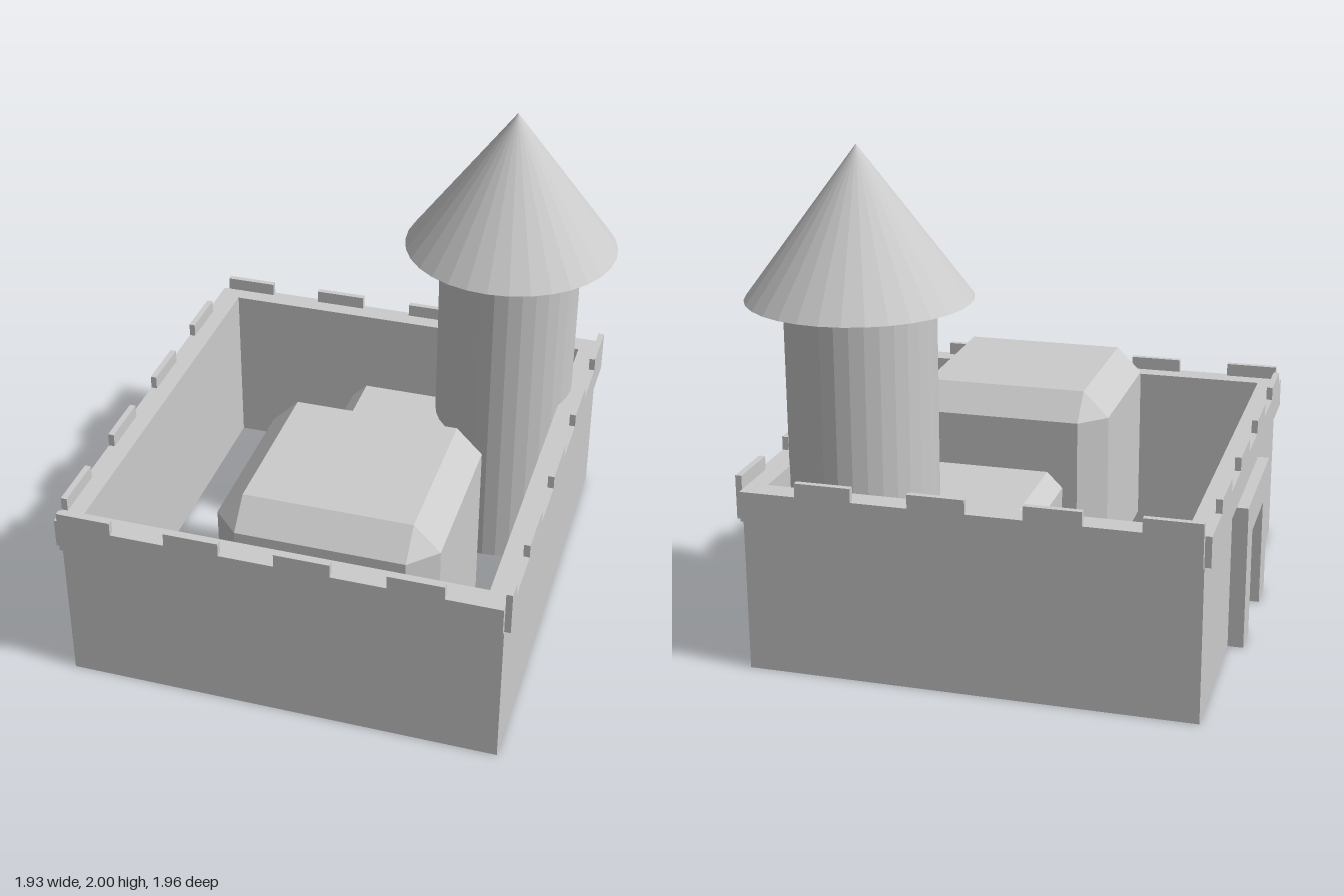
import * as THREE from 'three';
import { ConvexGeometry } from 'three/addons/geometries/ConvexGeometry.js';

const material = new THREE.MeshStandardMaterial({ color: 0xcccccc, flatShading: true });

function add(parent, name, geometry, x = 0, y = 0, z = 0) {
  const mesh = new THREE.Mesh(geometry, material);
  mesh.name = name;
  mesh.position.set(x, y, z);
  parent.add(mesh);
  return mesh;
}

// Box given by its lower and upper limits on each axis
function block(parent, name, [x0, x1], [y0, y1], [z0, z1]) {
  return add(parent, name, new THREE.BoxGeometry(x1 - x0, y1 - y0, z1 - z0),
    (x0 + x1) / 2, (y0 + y1) / 2, (z0 + z1) / 2);
}

// Cube with every edge and corner cut off
function chamferedCube(w, h, d, c) {
  const points = [];
  for (const sx of [-1, 1]) for (const sy of [-1, 1]) for (const sz of [-1, 1]) {
    for (let full = 0; full < 3; full++) {
      const p = [w, h, d].map((s, i) => s / 2 - (i === full ? 0 : c));
      points.push(new THREE.Vector3(p[0] * sx, p[1] * sy, p[2] * sz));
    }
  }
  return new ConvexGeometry(points);
}

export function createModel() {
  const model = new THREE.Group();
  model.name = 'castle';
  const left = -0.905, right = 0.86, end = 0.955;
  const wallTop = 0.74, band = [0.62, wallTop], merlonY = [wallTop, 0.795], lip = 0.025;

  // Curtain walls around an open yard
  const walls = new THREE.Group();
  walls.name = 'walls';
  model.add(walls);
  block(walls, 'frontWall', [left, right], [0, wallTop], [0.88, end]);
  block(walls, 'backWall', [left, right], [0, wallTop], [-end, -0.885]);
  block(walls, 'westWall', [left, -0.835], [0, wallTop], [-0.885, 0.88]);
  block(walls, 'eastWall', [0.785, right], [0, wallTop], [-0.885, 0.88]);

  // Projecting band and battlements
  const parapet = new THREE.Group();
  parapet.name = 'parapet';
  model.add(parapet);
  const frontZ = [end, end + lip], backZ = [-end - lip, -end];
  const westX = [left - lip, left], eastX = [right, right + lip];
  for (const z of [frontZ, backZ]) {
    block(parapet, 'band', [left, right], band, z);
    for (let i = 0; i < 4; i++) {
      const x = left + i * 0.441;
      block(parapet, 'merlon', [x, x + 0.2205], merlonY, z);
    }
  }
  for (const x of [westX, eastX]) block(parapet, 'band', x, band, [-end, end]);
  for (let i = 0; i < 4; i++) {
    const z = -0.73 + i * 0.46;
    block(parapet, 'merlon', westX, merlonY, [z, z + 0.23]);
  }
  for (let i = 0; i < 5; i++) {
    const z = -0.96 + i * 0.46;
    block(parapet, 'merlon', eastX, merlonY, [Math.max(z, -end), Math.min(z + 0.23, end)]);
  }

  // Gate frame with an opening down to the ground
  const frame = new THREE.Shape([[-0.29, 0], [-0.15, 0], [-0.15, 0.45], [0.16, 0.45],
    [0.16, 0], [0.31, 0], [0.31, 0.595], [-0.29, 0.595]].map(([z, y]) => new THREE.Vector2(z, y)));
  const gate = add(model, 'gateFrame',
    new THREE.ExtrudeGeometry(frame, { depth: 0.063, bevelEnabled: false }), left, 0, 0);
  gate.rotation.y = -Math.PI / 2;

  // Buildings in the yard
  add(model, 'largeHouse', chamferedCube(0.89, 0.89, 0.885, 0.107), 0.125, 0.445, 0.4375);
  add(model, 'smallHouse', chamferedCube(0.59, 0.59, 0.59, 0.064), 0.125, 0.295, -0.315);

  // Round tower with its pointed roof
  add(model, 'tower', new THREE.CylinderGeometry(0.295, 0.295, 1.41, 32), 0.52, 0.705, -0.54);
  add(model, 'towerRoof', new THREE.ConeGeometry(0.442, 0.59, 32), 0.52, 1.705, -0.54);

  return model;
}
